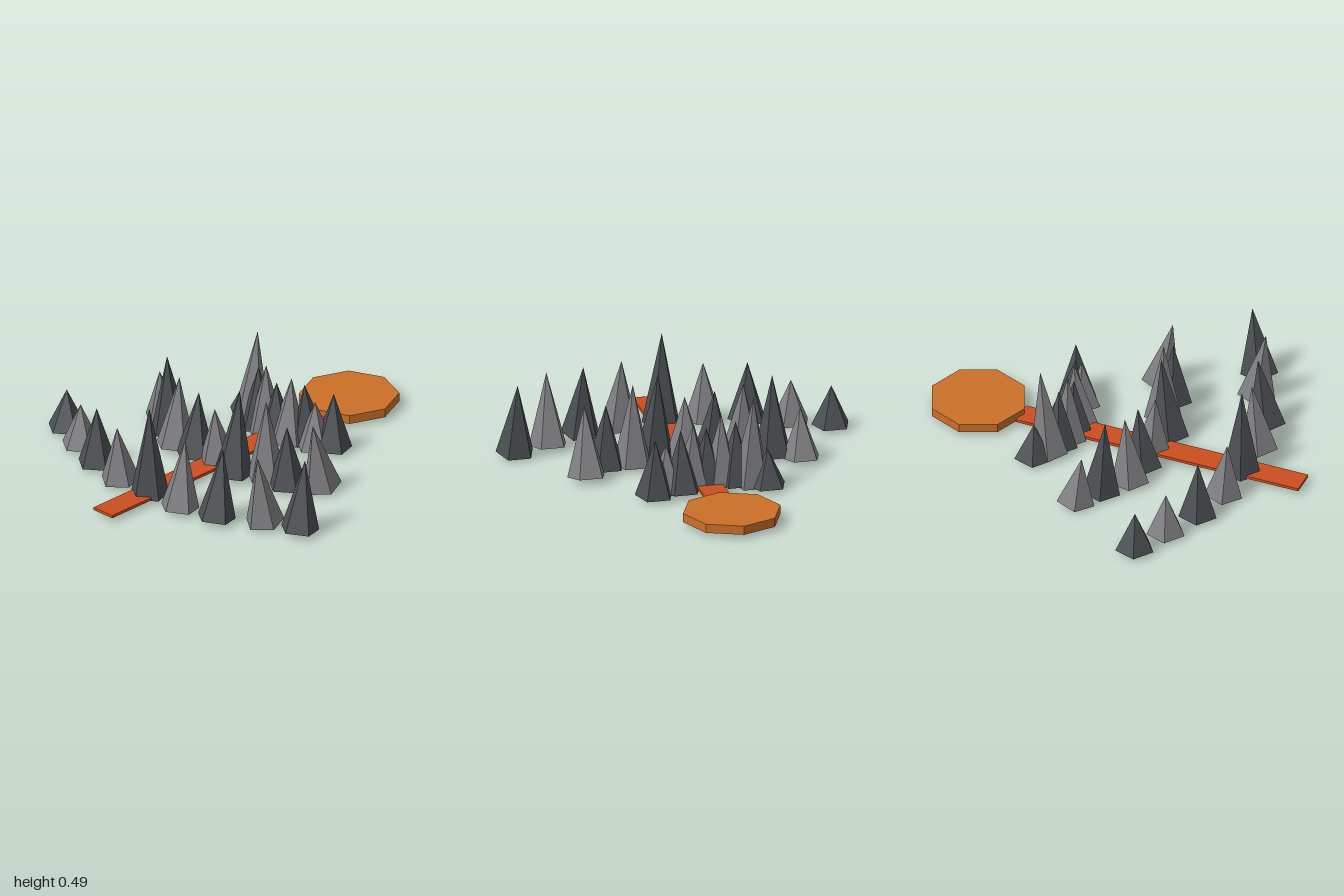
import * as THREE from 'three';

const paint = (name, color) => {
  const m = new THREE.MeshStandardMaterial({ color, flatShading: true });
  m.name = name;
  return m;
};

// Each spike: [x, z of base, tip height, how far the tip leans along z]
const rows = {
  frontRow: [
    [-0.81, 0.43, 0.225, 0], [-0.625, 0.52, 0.24, 0], [-0.425, 0.61, 0.32, 0],
    [-0.215, 0.66, 0.31, 0.02], [0, 0.67, 0.49, 0], [0.215, 0.675, 0.375, -0.04],
    [0.425, 0.63, 0.38, -0.05], [0.625, 0.49, 0.385, 0.05], [0.81, 0.43, 0.385, -0.04],
  ],
  middleRow: [
    [-0.55, 0.005, 0.275, 0.03], [-0.425, 0.09, 0.43, 0.02], [-0.29, 0.19, 0.38, -0.03],
    [-0.145, 0.2, 0.35, -0.03], [0, 0.185, 0.32, 0.02], [0.145, 0.225, 0.46, -0.05],
    [0.285, 0.13, 0.435, 0], [0.425, 0.125, 0.34, 0], [0.55, 0.005, 0.37, 0.065],
  ],
  backRow: [
    [-0.29, -0.33, 0.21, 0], [-0.22, -0.275, 0.485, -0.05], [-0.145, -0.255, 0.34, 0],
    [-0.075, -0.237, 0.38, 0], [0, -0.235, 0.31, 0], [0.075, -0.235, 0.35, -0.03],
    [0.145, -0.315, 0.33, 0.03], [0.22, -0.285, 0.26, 0], [0.29, -0.335, 0.31, -0.01],
  ],
};

export function createModel() {
  const model = new THREE.Group();
  const darkStone = paint('darkStone', 0x4a4f53);
  const lightStone = paint('lightStone', 0x808084);
  const redOrange = paint('redOrange', 0xcc4e20);
  const amber = paint('amber', 0xcc7029);

  const add = (parent, name, geometry, material, x, y, z) => {
    const mesh = new THREE.Mesh(geometry, material);
    mesh.name = name;
    mesh.position.set(x, y, z);
    parent.add(mesh);
    return mesh;
  };

  // Long flat path and the round pool at its back end
  add(model, 'path', new THREE.BoxGeometry(0.13, 0.015, 1.52), redOrange, 0, 0.0285, 0.24);
  add(model, 'pool', new THREE.CylinderGeometry(0.25, 0.25, 0.046, 8), amber, 0, 0.043, -0.75);

  // Three curved rows of five-sided spikes in alternating greys
  const baseY = 0.017;
  Object.entries(rows).forEach(([name, spikes], r) => {
    const row = new THREE.Group();
    row.name = name;
    spikes.forEach(([x, z, top, lean], i) => {
      const rise = top - baseY;
      const length = Math.hypot(rise, lean);
      const cone = new THREE.ConeGeometry(0.1, length, 5).translate(0, length / 2, 0);
      const dark = r === 1 ? i % 2 === 1 : i % 2 === 0;
      const spike = add(row, 'spike', cone, dark ? darkStone : lightStone, x, baseY, z);
      spike.rotation.x = Math.atan2(lean, rise);
    });
    model.add(row);
  });
  return model;
}
